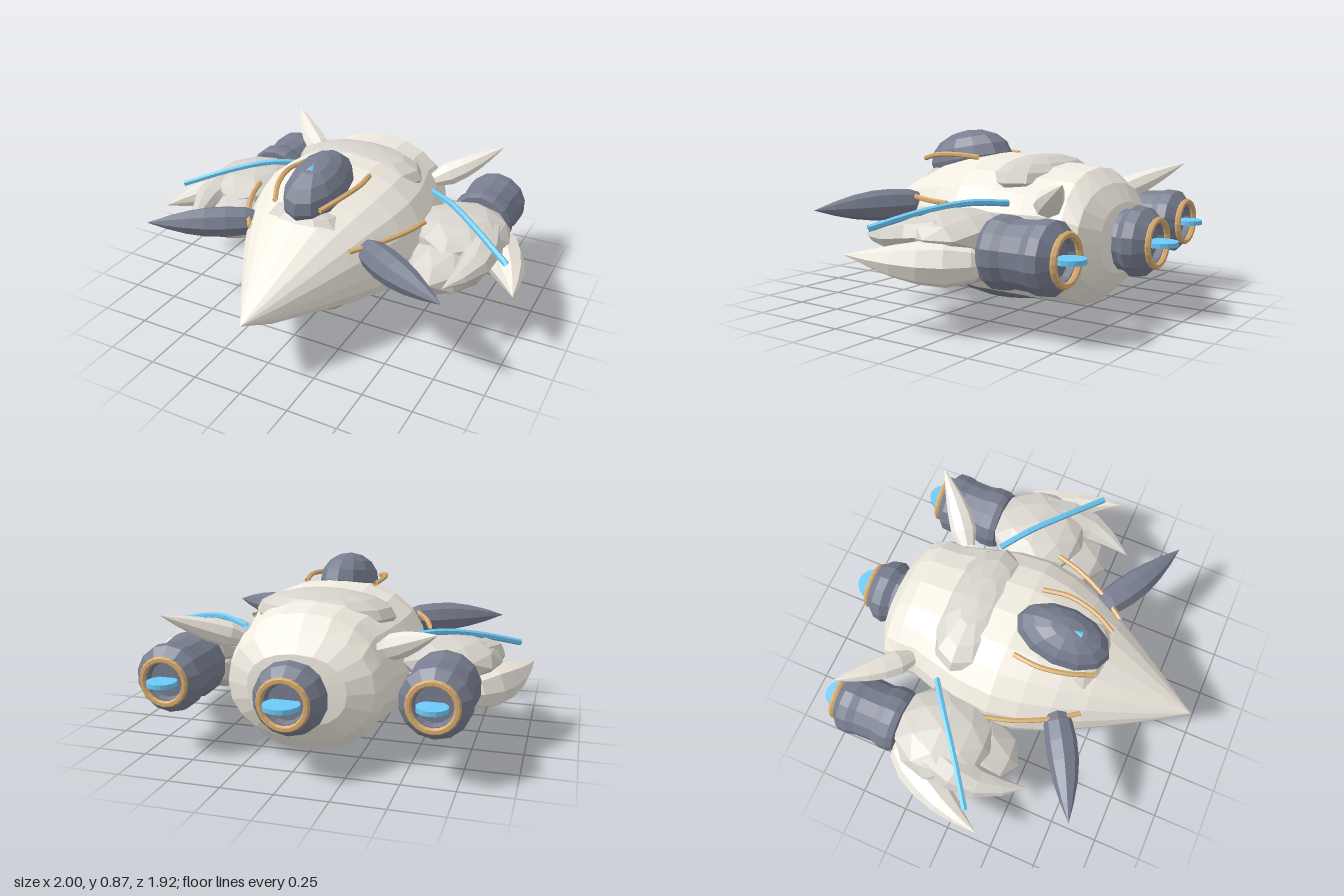
import * as THREE from 'three';

const paint = (color) => new THREE.MeshStandardMaterial({ color, flatShading: true, side: THREE.DoubleSide });
const V = (x, y, z) => new THREE.Vector3(x, y, z);

export function createModel() {
  const model = new THREE.Group();
  const shell = paint(0xf0ebe0), plate = paint(0xd6d2cb), dark = paint(0x787e90);
  const bronze = paint(0xd8ac70), blue = paint(0x6ccaf8);

  const add = (name, geometry, material, parent = model) => {
    const mesh = new THREE.Mesh(geometry, material);
    mesh.name = name;
    parent.add(mesh);
    return mesh;
  };

  // Faceted ellipsoid from a unit sphere
  const blob = (name, unit, material, centre, radii) => {
    const mesh = add(name, unit, material);
    mesh.position.set(...centre);
    mesh.scale.set(...radii);
    return mesh;
  };

  // Thin round strip through a few points
  const strip = (name, points, radius, material) =>
    add(name, new THREE.TubeGeometry(new THREE.CatmullRomCurve3(points), 12, radius, 6), material);

  // Curved horn: a tube whose radius follows a profile, with its own height factor
  const horn = (name, points, profile, tall, material, sides = 8) => {
    const curve = new THREE.CatmullRomCurve3(points);
    const n = profile.length - 1;
    const geometry = new THREE.TubeGeometry(curve, n, 1, sides);
    const pos = geometry.attributes.position;
    for (let i = 0; i < pos.count; i++) {
      const ring = Math.floor(i / (sides + 1));
      const c = curve.getPointAt(ring / n);
      const d = V(0, 0, 0).fromBufferAttribute(pos, i).sub(c).multiplyScalar(profile[ring]);
      pos.setXYZ(i, c.x + d.x, c.y + d.y * tall, c.z + d.z);
    }
    return add(name, geometry, material);
  };

  // Hull sections from nose to tail: z, half width, top, bottom, height of widest line
  const sections = [
    [0.96, 0, 0.35, 0.35, 0.35], [0.8, 0.105, 0.44, 0.27, 0.35], [0.6, 0.225, 0.55, 0.21, 0.36],
    [0.45, 0.31, 0.63, 0.16, 0.37], [0.3, 0.385, 0.69, 0.11, 0.38], [0.15, 0.44, 0.73, 0.065, 0.38],
    [0, 0.47, 0.755, 0.035, 0.38], [-0.18, 0.455, 0.74, 0.03, 0.38], [-0.34, 0.41, 0.72, 0.03, 0.38],
    [-0.45, 0.375, 0.71, 0.03, 0.38], [-0.55, 0.375, 0.7, 0.03, 0.37], [-0.63, 0.355, 0.63, 0.11, 0.37],
    [-0.69, 0.24, 0.54, 0.2, 0.37], [-0.71, 0, 0.37, 0.37, 0.37],
  ];
  const hullSides = 20;
  const hull = new THREE.CylinderGeometry(1, 1, 1, hullSides, sections.length - 1, true).rotateX(Math.PI / 2);
  const hp = hull.attributes.position;
  const square = (v) => Math.sign(v) * Math.abs(v) ** 0.9;
  for (let i = 0; i < hp.count; i++) {
    const [z, w, top, bottom, mid] = sections[Math.floor(i / (hullSides + 1))];
    const ny = square(hp.getY(i));
    hp.setXYZ(i, square(hp.getX(i)) * w, mid + ny * (ny > 0 ? top - mid : mid - bottom), z);
  }
  add('hull', hull, shell);

  // Plates, belly and canopy
  const ball = new THREE.SphereGeometry(1, 12, 8);
  const fineBall = new THREE.SphereGeometry(1, 20, 14);
  const rock = new THREE.IcosahedronGeometry(1, 1);
  blob('backPlate', ball, plate, [0, 0.635, -0.23], [0.36, 0.12, 0.2]);
  blob('frontPlate', ball, plate, [0, 0.565, 0.345], [0.225, 0.115, 0.14]);
  blob('belly', fineBall, dark, [0, 0.25, -0.07], [0.36, 0.25, 0.47]);
  blob('canopy', ball, dark, [0, 0.712, 0.225], [0.148, 0.15, 0.25]).rotation.x = 0.18;
  const light = add('canopyLight', new THREE.ConeGeometry(0.032, 0.09, 4), blue);
  light.rotation.x = -Math.PI / 2 + 0.32;
  light.scale.z = 0.4;
  light.position.set(0, 0.847, 0.272);

  strip('chinTrim', [V(-0.2, 0.165, 0.33), V(-0.12, 0.105, 0.33), V(0, 0.08, 0.33),
    V(0.12, 0.105, 0.33), V(0.2, 0.165, 0.33)], 0.014, bronze);

  // Engine facing the rear: ribbed body, bronze ring and horizontal blue fin
  const engine = (name, x, y, z, profile, ringZ, ringR, finR) => {
    const group = new THREE.Group();
    group.name = name;
    group.position.set(x, y, z);
    model.add(group);
    const points = profile.map(([r, d]) => new THREE.Vector2(r, d));
    add('engineBody', new THREE.LatheGeometry(points, 14).rotateX(-Math.PI / 2), dark, group);
    add('engineRing', new THREE.TorusGeometry(ringR, 0.016, 6, 20), bronze, group).position.z = -ringZ;
    add('engineFin', new THREE.CylinderGeometry(finR, finR, 0.022, 16), blue, group).position.z = -ringZ - 0.016;
  };
  engine('rearEngine', 0, 0.36, -0.64,
    [[0, 0], [0.15, 0.01], [0.15, 0.08], [0.175, 0.12], [0.165, 0.17], [0.125, 0.215], [0.095, 0.215], [0.085, 0.185], [0, 0.185]],
    0.225, 0.111, 0.084);

  for (const s of [1, -1]) {
    const P = (x, y, z) => V(s * x, y, z);
    const side = s > 0 ? 'left' : 'right';

    engine(side + 'Engine', s * 0.635, 0.37, -0.38,
      [[0, 0], [0.155, 0], [0.168, 0.03], [0.168, 0.08], [0.154, 0.12], [0.158, 0.22], [0.168, 0.26],
        [0.165, 0.31], [0.12, 0.35], [0.095, 0.35], [0.085, 0.32], [0, 0.32]],
      0.363, 0.109, 0.072);

    // Wing pod with its inner and outer claws
    blob(side + 'WingPod', rock, plate, [s * 0.6, 0.325, -0.09], [0.215, 0.145, 0.335]);
    blob(side + 'WingShell', rock, plate, [s * 0.62, 0.43, -0.16], [0.25, 0.115, 0.26]);
    horn(side + 'InnerClaw', [P(0.6, 0.44, -0.36), P(0.74, 0.44, -0.12), P(0.775, 0.41, 0.1), P(0.7, 0.39, 0.335)],
      [0, 0.09, 0.115, 0.105, 0.08, 0.045, 0], 0.75, plate);
    horn(side + 'OuterClaw', [P(0.68, 0.33, -0.43), P(0.83, 0.325, -0.2), P(0.935, 0.335, 0), P(1, 0.35, 0.185)],
      [0, 0.085, 0.107, 0.097, 0.072, 0.038, 0], 1, shell);
    strip(side + 'WingStrip', [P(0.4, 0.55, -0.29), P(0.55, 0.56, -0.18), P(0.72, 0.53, -0.05), P(0.93, 0.465, 0.1)],
      0.016, blue);

    // Dark front fin and rear horn
    horn(side + 'FrontFin', [P(0.27, 0.495, 0.3), P(0.5, 0.495, 0.44), P(0.795, 0.49, 0.59)],
      [0.04, 0.073, 0.08, 0.076, 0.06, 0.034, 0], 1, dark);
    horn(side + 'RearHorn', [P(0.34, 0.53, -0.46), P(0.47, 0.59, -0.56), P(0.645, 0.685, -0.725)],
      [0.04, 0.068, 0.063, 0.048, 0.027, 0], 0.9, shell);

    // Bronze trims beside the canopy and along the hull
    strip(side + 'CanopyTrim', [P(0.185, 0.735, 0.04), P(0.2, 0.745, 0.18), P(0.17, 0.735, 0.33), P(0.12, 0.71, 0.44)],
      0.013, bronze);
    strip(side + 'HullTrim', [P(0.48, 0.535, 0.015), P(0.445, 0.535, 0.14), P(0.37, 0.535, 0.3), P(0.275, 0.53, 0.44)],
      0.013, bronze);
  }
  return model;
}
